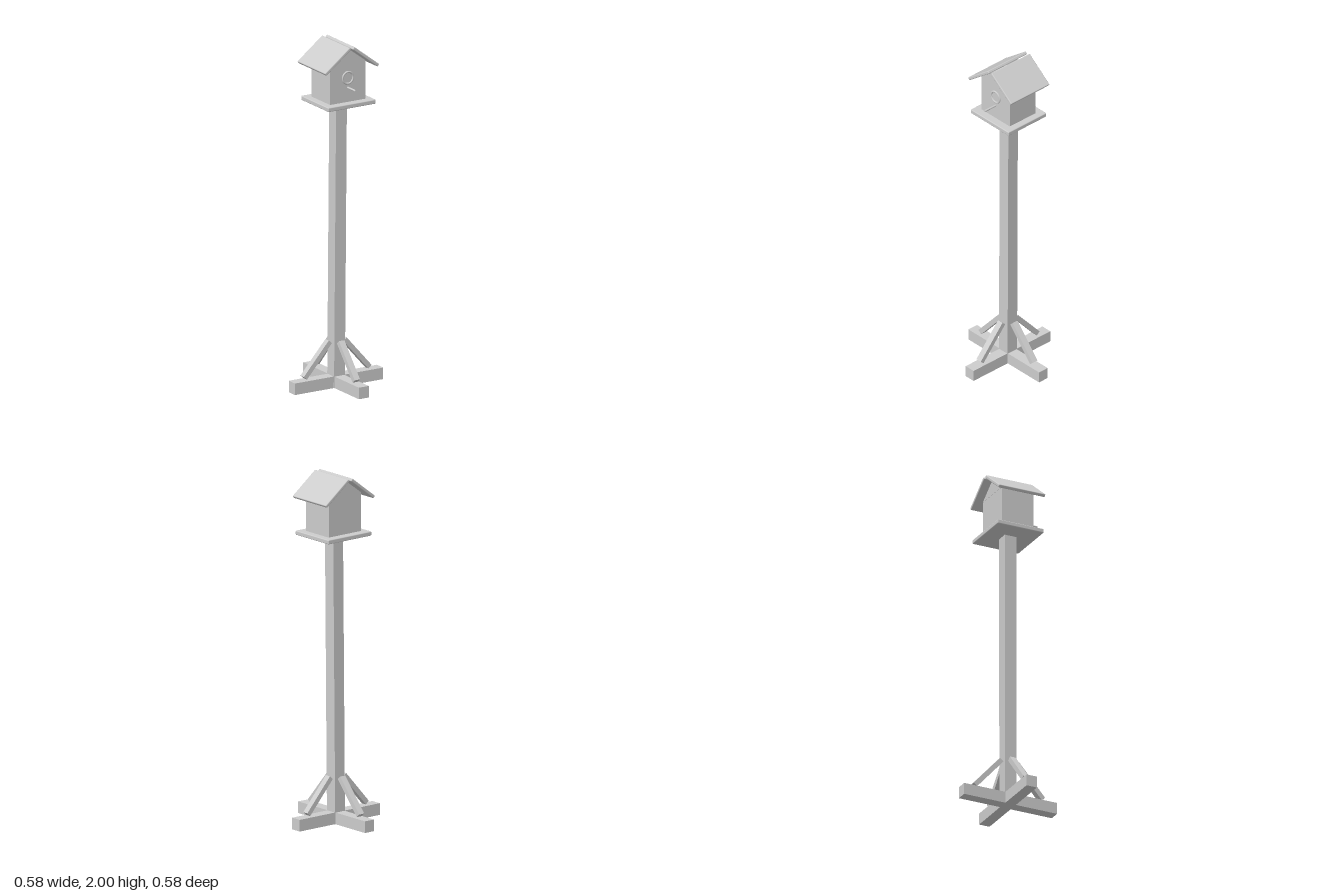
import * as THREE from 'three';
import { RoundedBoxGeometry } from 'three/addons/geometries/RoundedBoxGeometry.js';

export function createModel() {
  const model = new THREE.Group();
  model.name = 'birdhouseOnPost';
  const wood = new THREE.MeshStandardMaterial({ color: 0xcccccc });
  wood.name = 'plain grey';

  const add = (name, geometry, x, y, z, parent = model) => {
    const mesh = new THREE.Mesh(geometry, wood);
    mesh.name = name;
    mesh.position.set(x, y, z);
    parent.add(mesh);
    return mesh;
  };

  // Four feet, each with a slanted brace up to the post
  for (let i = 0; i < 4; i++) {
    const leg = new THREE.Group();
    leg.name = 'leg' + (i + 1);
    leg.rotation.y = i * Math.PI / 2;
    add('foot', new THREE.BoxGeometry(0.257, 0.067, 0.065), 0.1615, 0.0335, 0, leg);
    const brace = add('brace', new THREE.BoxGeometry(0.248, 0.028, 0.036), 0.13, 0.174, 0, leg);
    brace.rotation.z = -0.848;
    model.add(leg);
  }

  // Post, leaning slightly towards its top
  const postHeight = 1.65;
  const post = new THREE.BoxGeometry(0.071, postHeight, 0.072);
  post.translate(0, postHeight / 2, 0);
  const p = post.attributes.position;
  for (let i = 0; i < p.count; i++) {
    const t = p.getY(i) / postHeight;
    p.setX(i, p.getX(i) + 0.011 * t);
    p.setZ(i, p.getZ(i) + 0.004 * t);
  }
  post.computeVertexNormals();
  add('post', post, 0, 0, 0);

  // Birdhouse, set around the post's top
  const house = new THREE.Group();
  house.name = 'birdhouse';
  house.position.set(0.012, 0, 0.007);
  model.add(house);
  add('platform', new RoundedBoxGeometry(0.313, 0.025, 0.287, 2, 0.005), 0, 1.66, 0, house);
  add('walls', new THREE.BoxGeometry(0.233, 0.225, 0.196), 0, 1.7835, 0, house);

  // Triangular gable boards, front and back
  const triangle = new THREE.Shape();
  triangle.moveTo(-0.1165, 0);
  triangle.lineTo(0.1165, 0);
  triangle.lineTo(0, 0.087);
  triangle.closePath();
  const gable = new THREE.ExtrudeGeometry(triangle, { depth: 0.02, bevelEnabled: false });
  add('frontGable', gable, 0, 1.895, 0.079, house);
  add('backGable', gable, 0, 1.895, -0.099, house);

  // Roof panels with a narrow gap along the ridge
  const panel = new RoundedBoxGeometry(0.207, 0.018, 0.29, 3, 0.005);
  for (const side of [-1, 1]) {
    const roof = add(side < 0 ? 'rightRoof' : 'leftRoof', panel, side * 0.092, 1.93, -0.002, house);
    roof.rotation.z = -side * 0.654;
  }

  // Entrance ring and perch
  add('entranceRing', new THREE.TorusGeometry(0.034, 0.006, 10, 32), 0, 1.812, 0.098, house);
  const perch = add('perch', new THREE.CylinderGeometry(0.006, 0.006, 0.09, 12), 0, 1.755, 0.135, house);
  perch.rotation.x = Math.PI / 2;

  return model;
}
